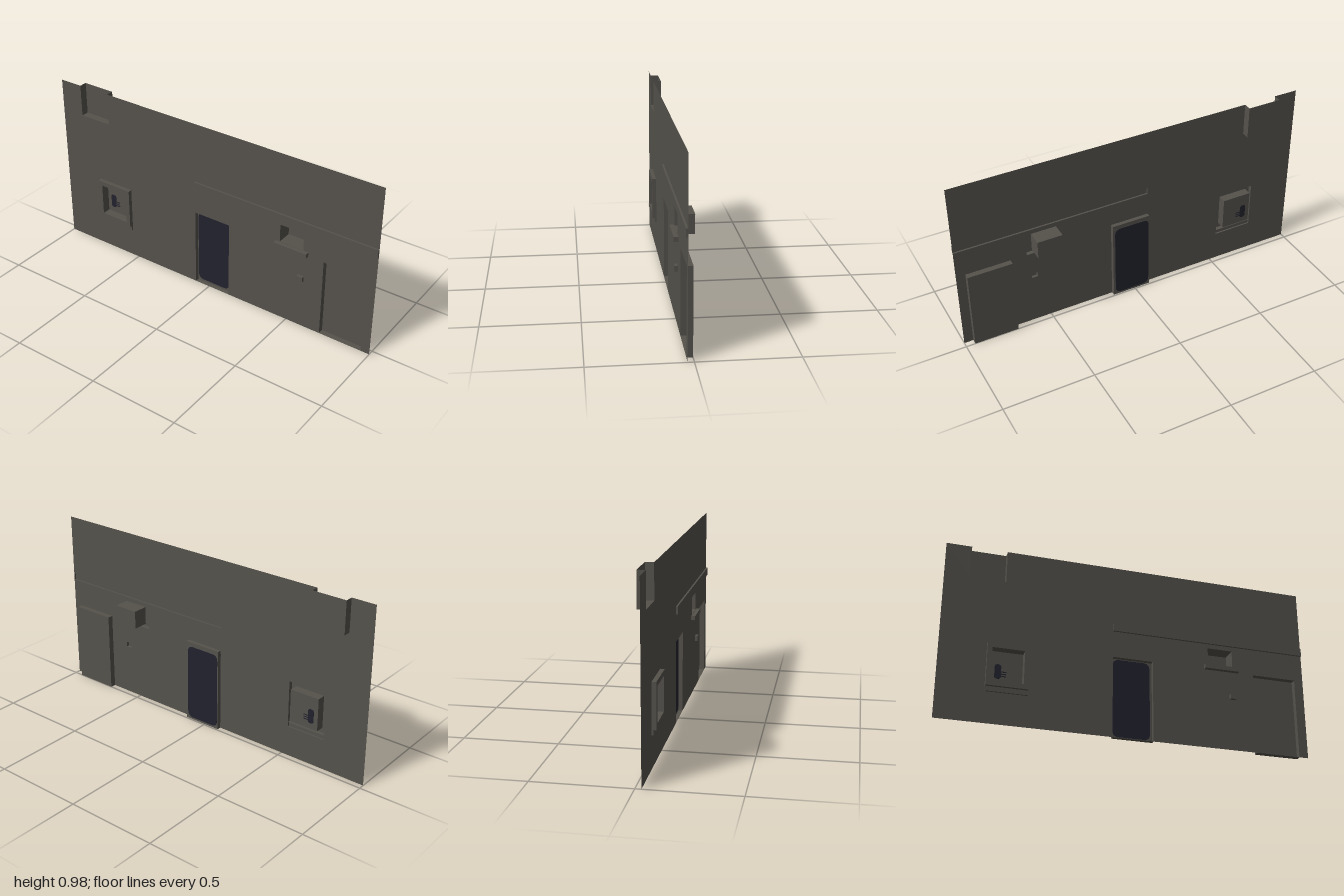
import * as THREE from 'three';
import { mergeGeometries } from 'three/addons/utils/BufferGeometryUtils.js';

const WALL_Z = 0.031;
const TOP = 0.98;

// Rectangles are [x0, x1, y0, y1]
const RECT = {
  alcove: [-0.865, -0.675, 0.8, TOP],
  doorway: [-0.09, 0.13, 0, 0.448],
  garage: [0.705, 0.95, 0, 0.446],
  windowOuter: [-0.755, -0.535, 0.196, 0.432],
  windowSill: [-0.755, -0.535, 0.17, 0.196],
  windowInner: [-0.73, -0.562, 0.223, 0.405],
  niche: [0.445, 0.585, 0.471, 0.572],
  nicheSill: [0.42, 0.615, 0.445, 0.469],
  band: [-0.09, 0.999, 0.597, 0.64],
  button: [0.562, 0.596, 0.286, 0.315],
};

function rectPath([x0, x1, y0, y1], Type = THREE.Path) {
  const p = new Type();
  p.moveTo(x0, y0);
  p.lineTo(x1, y0);
  p.lineTo(x1, y1);
  p.lineTo(x0, y1);
  p.closePath();
  return p;
}

// Flat rectangle at depth z, optionally with holes
function face(rect, z, holes = []) {
  const s = rectPath(rect, THREE.Shape);
  s.holes = holes.map((h) => rectPath(h));
  return new THREE.ShapeGeometry(s).translate(0, 0, z);
}

// Four sides between two depths; open lists the sides left out
function sides([x0, x1, y0, y1], za, zb, open = '') {
  const d = Math.abs(zb - za), z = (za + zb) / 2;
  const parts = [];
  const upright = (x, turn) => new THREE.PlaneGeometry(d, y1 - y0)
    .rotateY(turn * Math.PI / 2).translate(x, (y0 + y1) / 2, z);
  const level = (y, turn) => new THREE.PlaneGeometry(x1 - x0, d)
    .rotateX(turn * Math.PI / 2).translate((x0 + x1) / 2, y, z);
  const out = zb > za ? 1 : -1;
  parts.push(upright(x0, -out), upright(x1, out));
  if (!open.includes('top')) parts.push(level(y1, -out));
  if (!open.includes('bottom')) parts.push(level(y0, out));
  return parts;
}

const pocket = (rect, z, open) => [...sides(rect, WALL_Z, z, open), face(rect, z)];

export function createModel() {
  const group = new THREE.Group();
  const stone = new THREE.MeshStandardMaterial({ color: 0x55524c, side: THREE.DoubleSide });
  stone.name = 'darkStone';
  const glass = new THREE.MeshStandardMaterial({ color: 0x22222e });
  glass.name = 'darkBlueGlass';

  const add = (name, geometries, material = stone) => {
    const mesh = new THREE.Mesh(mergeGeometries(geometries), material);
    mesh.name = name;
    group.add(mesh);
  };

  // Wall sheet, notched at the top and bottom edges and pierced for each feature
  const [ax0, ax1, ay] = RECT.alcove;
  const [dx0, dx1, , dy] = RECT.doorway;
  const [gx0, gx1, , gy] = RECT.garage;
  const outline = [
    [-1, 0], [dx0, 0], [dx0, dy], [dx1, dy], [dx1, 0], [gx0, 0], [gx0, gy], [gx1, gy], [gx1, 0],
    [1, 0], [1, TOP], [ax1, TOP], [ax1, ay], [ax0, ay], [ax0, TOP], [-1, TOP],
  ];
  const wall = new THREE.Shape(outline.map(([x, y]) => new THREE.Vector2(x, y)));
  const windowHole = [-0.755, -0.535, 0.17, 0.432];
  wall.holes = [windowHole, RECT.niche, RECT.nicheSill, RECT.band, RECT.button].map((r) => rectPath(r));
  add('wall', [new THREE.ShapeGeometry(wall).translate(0, 0, WALL_Z)]);

  // Recesses behind the wall
  add('topAlcove', pocket(RECT.alcove, -0.012, 'top'));
  add('garageRecess', pocket(RECT.garage, 0));
  add('niche', pocket(RECT.niche, -0.053));
  add('doorRecess', pocket(RECT.doorway, 0.008));
  add('doorLintel', [new THREE.BoxGeometry(dx1 - dx0, 0.02, 0.022)
    .translate((dx0 + dx1) / 2, 0.458, 0.0195)]);

  // Raised trim, hollow from behind
  add('nicheSill', pocket(RECT.nicheSill, 0.054));
  add('longBand', pocket(RECT.band, 0.041));
  add('doorButton', pocket(RECT.button, 0.047));

  // Window: raised frame, sunken pane and stepped sill
  add('windowFrame', [
    ...sides(RECT.windowOuter, WALL_Z, 0.054),
    face(RECT.windowOuter, 0.054, [RECT.windowInner]),
  ]);
  add('windowRecess', [...sides(RECT.windowInner, 0.054, 0.006), face(RECT.windowInner, 0.006)]);
  add('windowSill', pocket(RECT.windowSill, 0.04));

  // Rounded glass plates showing on both faces of a pane
  const plate = ([x0, x1, y0, y1], r, z) => {
    const s = new THREE.Shape();
    s.moveTo(x0 + r, y0);
    s.lineTo(x1 - r, y0);
    s.quadraticCurveTo(x1, y0, x1, y0 + r);
    s.lineTo(x1, y1 - r);
    s.quadraticCurveTo(x1, y1, x1 - r, y1);
    s.lineTo(x0 + r, y1);
    s.quadraticCurveTo(x0, y1, x0, y1 - r);
    s.lineTo(x0, y0 + r);
    s.quadraticCurveTo(x0, y0, x0 + r, y0);
    return new THREE.ExtrudeGeometry(s, { depth: 0.003, bevelEnabled: false, curveSegments: 5 })
      .translate(0, 0, z - 0.0015);
  };
  add('doorGlass', [plate([-0.085, 0.118, 0.012, 0.444], 0.035, 0.008)], glass);
  const streaks = [0.268, 0.28, 0.292].map((y) => plate([-0.69, -0.645, y, y + 0.005], 0.002, 0.006));
  add('windowGlass', [plate([-0.706, -0.672, 0.255, 0.335], 0.015, 0.006), ...streaks], glass);

  return group;
}
